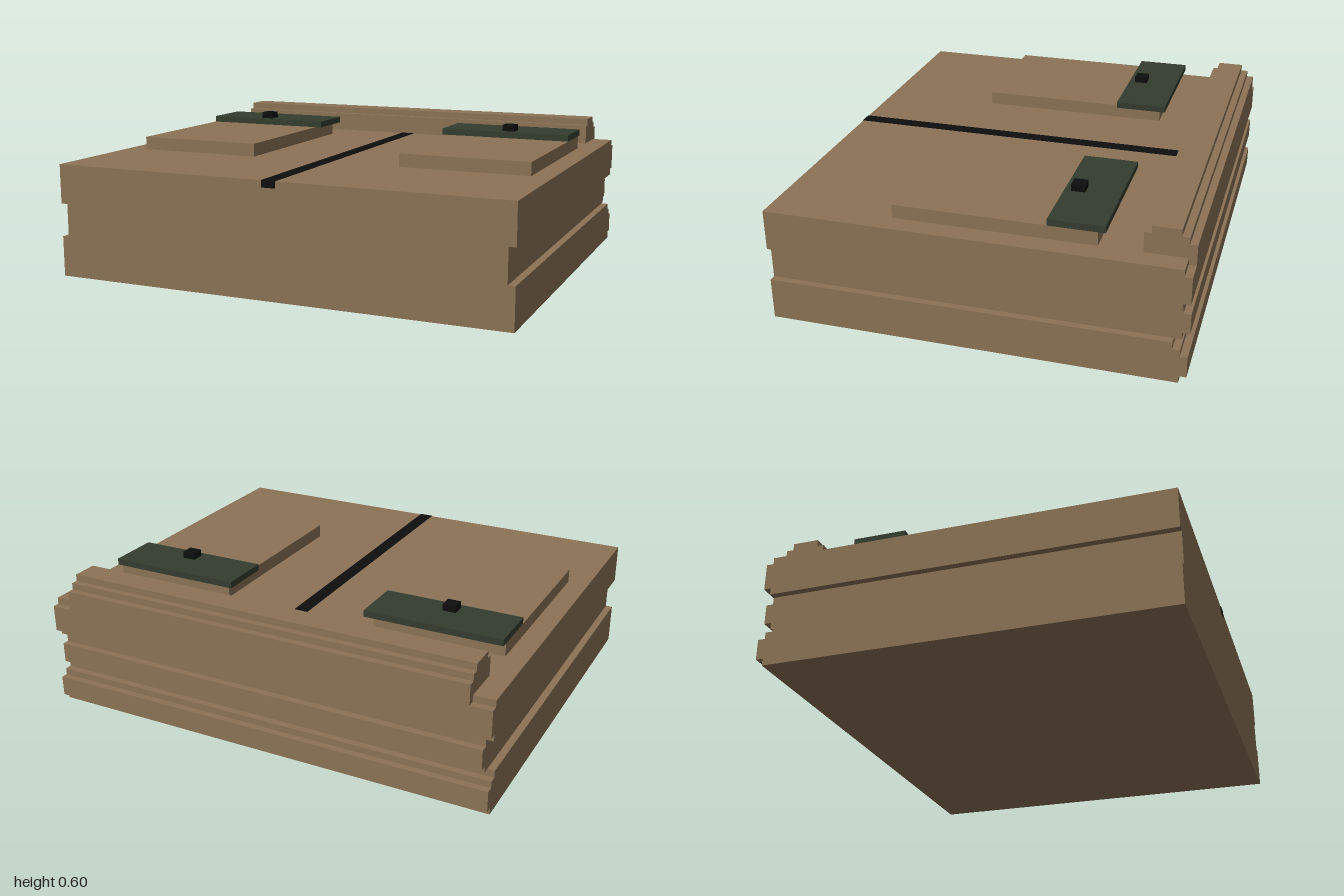
import * as THREE from 'three';

const mat = (name, color) => {
  const m = new THREE.MeshStandardMaterial({ color });
  m.name = name;
  return m;
};

export function createModel() {
  const group = new THREE.Group();
  const tan = mat('tan', 0x8b7355);
  const green = mat('darkGreen', 0x343c2e);
  const black = mat('black', 0x0e0e0e);

  const add = (name, geometry, material) => {
    const mesh = new THREE.Mesh(geometry, material);
    mesh.name = name;
    group.add(mesh);
  };

  // Box from its limits on each axis
  const box = (name, material, [x0, x1], [y0, y1], [z0, z1]) => {
    const g = new THREE.BoxGeometry(x1 - x0, y1 - y0, z1 - z0);
    g.translate((x0 + x1) / 2, (y0 + y1) / 2, (z0 + z1) / 2);
    add(name, g, material);
  };

  // Side profile of [z, y] points swept across the width
  const sweep = (name, width, points) => {
    const shape = new THREE.Shape(points.map(([z, y]) => new THREE.Vector2(z, y)));
    const g = new THREE.ExtrudeGeometry(shape, { depth: width, bevelEnabled: false });
    g.rotateY(-Math.PI / 2);
    g.translate(width / 2, 0, 0);
    add(name, g, tan);
  };

  // Body in three layers: the middle one is narrower, leaving the side grooves
  const front = 0.855, a = -0.795, b = -0.825, c = -0.855;
  sweep('lowerBody', 2, [
    [front, 0], [front, 0.175], [a, 0.175], [a, 0.145], [b, 0.145],
    [b, 0.117], [c, 0.117], [c, 0.03], [b, 0.03], [b, 0],
  ]);
  sweep('middleBody', 1.94, [
    [front, 0.175], [front, 0.318], [b, 0.318], [b, 0.288], [c, 0.288],
    [c, 0.203], [b, 0.203], [b, 0.175],
  ]);
  sweep('upperBody', 2, [
    [front, 0.318], [front, 0.488], [b, 0.488], [b, 0.46], [c, 0.46],
    [c, 0.346], [b, 0.346], [b, 0.318],
  ]);

  // Stepped rail along the back edge
  sweep('backRail', 1.82, [
    [-0.655, 0.488], [-0.655, 0.573], [-0.683, 0.573], [-0.683, 0.602],
    [a, 0.602], [a, 0.573], [b, 0.573], [b, 0.545], [c, 0.545],
    [c, 0.46], [b, 0.46], [b, 0.488],
  ]);

  // Dark seam down the middle of the top
  box('centreSeam', black, [-0.03, 0.03], [0.46, 0.49], [-0.655, 0.857]);

  // Raised pad, flap and button on each side
  for (const s of [-1, 1]) {
    const side = s > 0 ? 'left' : 'right';
    const mirror = (x0, x1) => (s > 0 ? [x0, x1] : [-x1, -x0]);
    box(side + 'Pad', tan, mirror(0.345, 0.91), [0.48, 0.545], [-0.483, 0.341]);
    box(side + 'Flap', green, mirror(0.315, 0.91), [0.545, 0.573], [-0.512, -0.285]);
    box(side + 'Button', black, mirror(0.598, 0.655), [0.573, 0.602], [-0.37, -0.313]);
  }
  return group;
}
